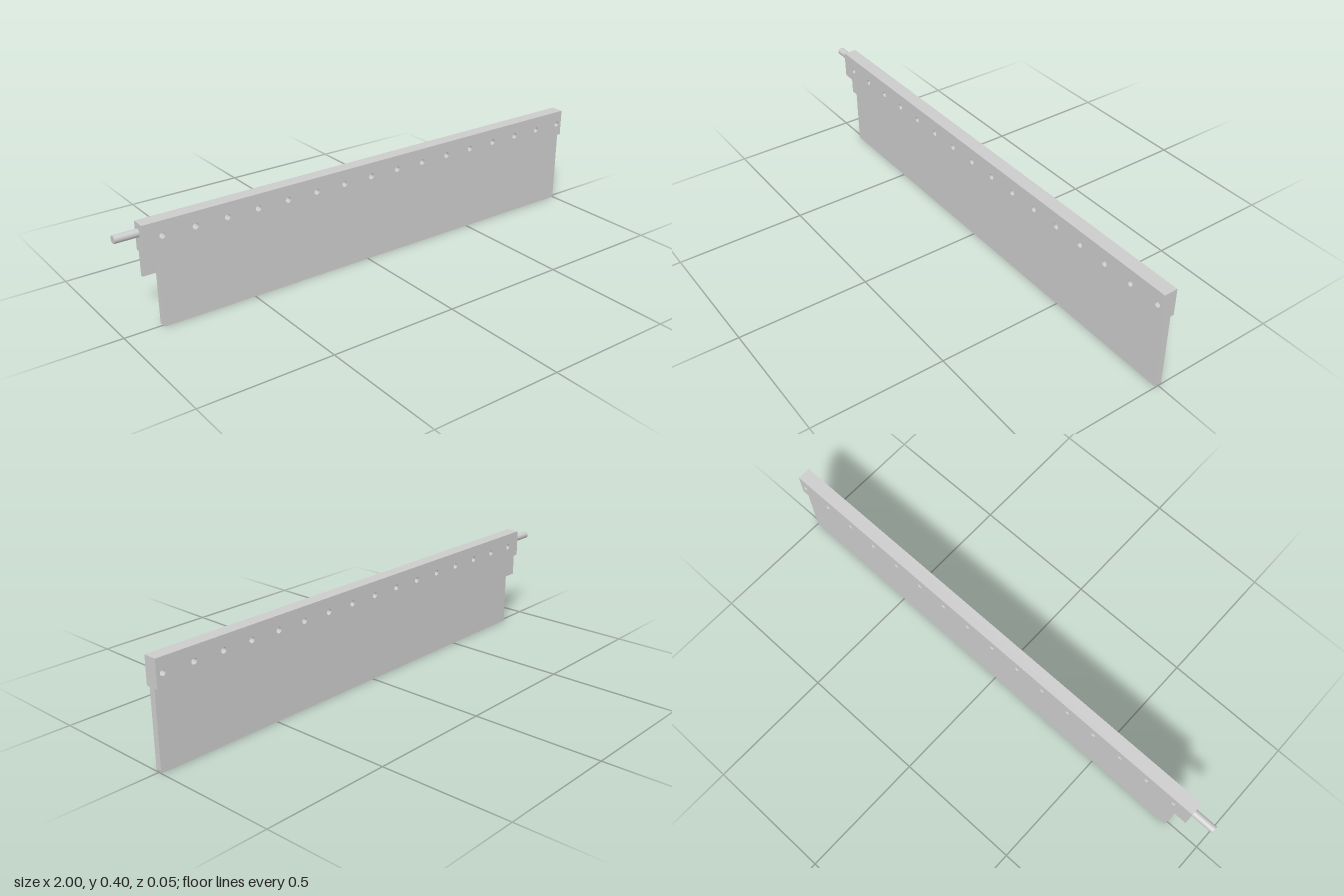
import * as THREE from 'three';

const material = new THREE.MeshStandardMaterial({ color: 0xcccccc });

function addMesh(group, name, geometry) {
  const mesh = new THREE.Mesh(geometry, material);
  mesh.name = name;
  group.add(mesh);
  return mesh;
}

// Extrude a shape between two z planes
function slab(shape, z0, z1) {
  const geometry = new THREE.ExtrudeGeometry(shape, {
    depth: z1 - z0, bevelEnabled: false, curveSegments: 12,
  });
  return geometry.translate(0, 0, z0);
}

function rectangle(x0, y0, x1, y1) {
  return new THREE.Shape()
    .moveTo(x0, y0).lineTo(x1, y0).lineTo(x1, y1).lineTo(x0, y1).closePath();
}

export function createModel() {
  const group = new THREE.Group();
  group.name = 'blade';

  // Thick top rail with a row of through holes
  const rail = rectangle(-0.913, 0.292, 1, 0.396);
  for (let i = 0; i < 16; i++) {
    const hole = new THREE.Path();
    hole.absarc(-0.843 + i * 0.1212, 0.342, 0.011, 0, Math.PI * 2, true);
    rail.holes.push(hole);
  }
  addMesh(group, 'topRail', slab(rail, -0.026, 0.026));

  // Thin panel with slightly rounded bottom corners
  const r = 0.008, x0 = -0.86, x1 = 1, top = 0.292;
  const panel = new THREE.Shape();
  panel.moveTo(x0, top);
  panel.lineTo(x0, r);
  panel.absarc(x0 + r, r, r, Math.PI, Math.PI * 1.5, false);
  panel.lineTo(x1 - r, 0);
  panel.absarc(x1 - r, r, r, Math.PI * 1.5, Math.PI * 2, false);
  panel.lineTo(x1, top);
  panel.closePath();
  addMesh(group, 'panel', slab(panel, -0.012, 0.012));

  // Half-thickness tab beside the panel
  addMesh(group, 'sideTab', slab(rectangle(-0.913, 0.203, x0, top), -0.012, 0));

  // Round pin at the end of the rail
  const pin = addMesh(group, 'endPin', new THREE.CylinderGeometry(0.0145, 0.0145, 0.09, 24));
  pin.rotation.z = Math.PI / 2;
  pin.position.set(-0.955, 0.36, -0.006);

  return group;
}
